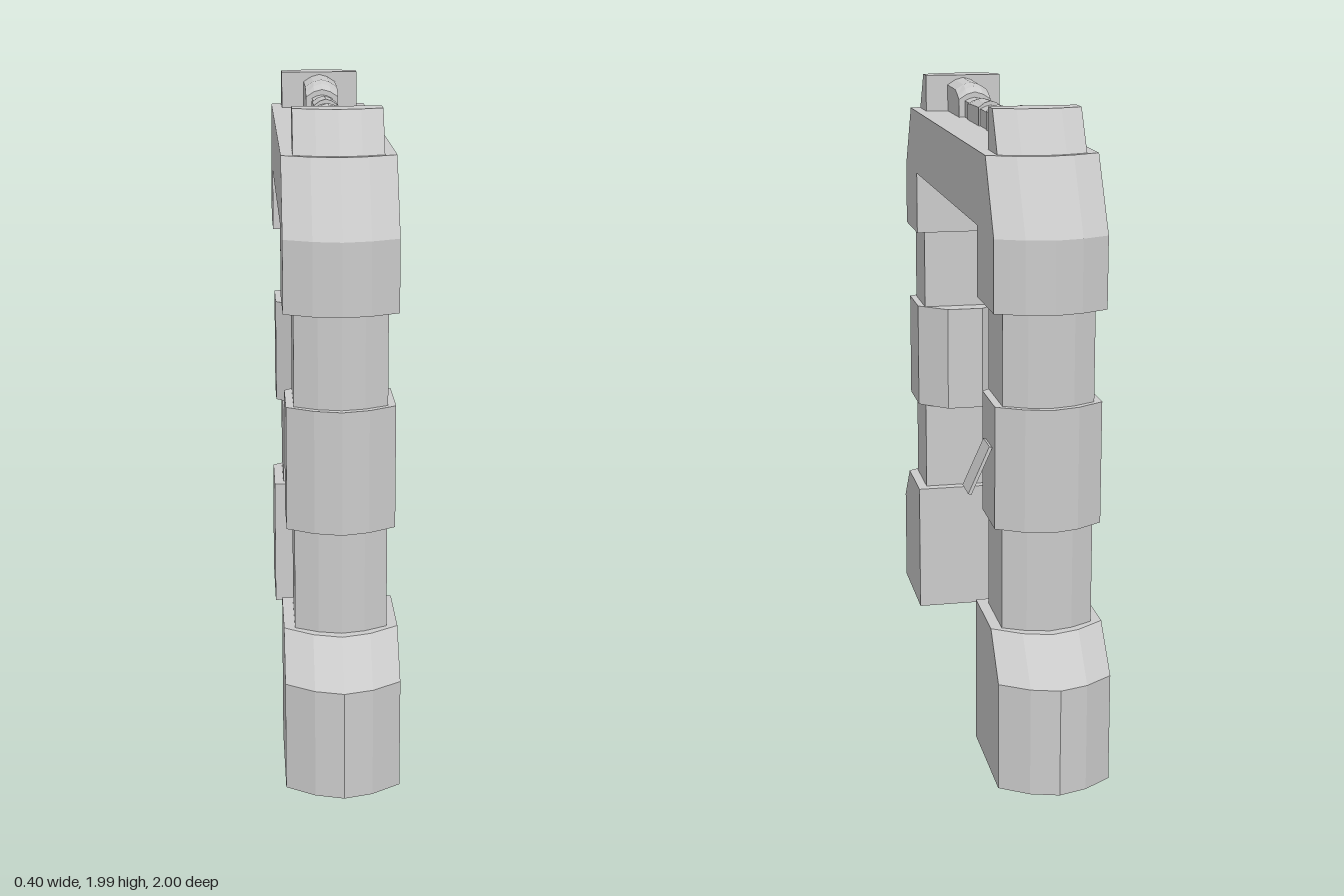
import * as THREE from 'three';

const material = new THREE.MeshStandardMaterial({ color: 0xcccccc, flatShading: true });
const STEPS = [-1, -0.5, 0, 0.5, 1];
const BOW = [0, 0.7, 1, 0.7, 0];

function addMesh(parent, name, geometry) {
  const mesh = new THREE.Mesh(geometry, material);
  mesh.name = name;
  parent.add(mesh);
  return mesh;
}

// Closed solid through a row of convex rings with equal point counts
function loft(rings) {
  const pos = [];
  const tri = (...pts) => pts.forEach((p) => pos.push(...p));
  const n = rings[0].length;
  for (let r = 0; r < rings.length - 1; r++) {
    for (let i = 0; i < n; i++) {
      const j = (i + 1) % n;
      const a = rings[r][i], b = rings[r][j], c = rings[r + 1][j], d = rings[r + 1][i];
      tri(a, b, c);
      tri(a, c, d);
    }
  }
  const first = rings[0], last = rings[rings.length - 1];
  for (let i = 1; i < n - 1; i++) {
    tri(first[0], first[i + 1], first[i]);
    tri(last[0], last[i], last[i + 1]);
  }
  const geometry = new THREE.BufferGeometry();
  geometry.setAttribute('position', new THREE.Float32BufferAttribute(pos, 3));
  geometry.computeVertexNormals();
  return geometry;
}

// Horizontal ring: bowed outer face (+z), flat or chamfered inner face
function legRing(w, y, inner, side, peak, chamfer) {
  const ring = STEPS.map((s, i) => [s * w, y, side + (peak - side) * BOW[i]]);
  if (chamfer) {
    ring.push([w, y, chamfer], [0.4 * w, y, inner], [-0.4 * w, y, inner], [-w, y, chamfer]);
  } else {
    ring.push([w, y, inner], [-w, y, inner]);
  }
  return ring;
}

// Vertical ring for the rail: flat bottom, domed top
function railRing(w, z, side, peak) {
  const ring = STEPS.map((s, i) => [-s * w, side + (peak - side) * BOW[i], z]);
  ring.push([-w, 1.86, z], [w, 1.86, z]);
  return ring;
}

function createPillar() {
  const pillar = new THREE.Group();
  addMesh(pillar, 'foot', loft([
    legRing(0.17, 0, 0.565, 0.92, 1.0),
    legRing(0.17, 0.335, 0.565, 0.92, 1.0),
    legRing(0.17, 0.465, 0.565, 0.805, 0.885),
  ]));
  addMesh(pillar, 'leg', loft([
    legRing(0.137, 0.465, 0.6, 0.805, 0.855),
    legRing(0.137, 1.43, 0.6, 0.805, 0.855),
  ]));
  addMesh(pillar, 'legCollar', loft([
    legRing(0.16, 0.78, 0.535, 0.81, 0.877, 0.62),
    legRing(0.16, 1.152, 0.535, 0.81, 0.877, 0.62),
  ]));
  addMesh(pillar, 'elbow', loft([
    legRing(0.167, 1.43, 0.575, 0.825, 0.88),
    legRing(0.167, 1.645, 0.575, 0.825, 0.88),
    legRing(0.167, 1.865, 0.575, 0.70, 0.755),
  ]));
  addMesh(pillar, 'topBlock', loft([
    legRing(0.132, 1.865, 0.565, 0.70, 0.735),
    legRing(0.132, 1.99, 0.565, 0.627, 0.662),
  ]));
  // Half of the rail, from the middle outwards
  addMesh(pillar, 'railCore', loft([
    railRing(0.035, 0, 1.92, 1.932),
    railRing(0.035, 0.34, 1.92, 1.932),
  ]));
  addMesh(pillar, 'railSleeve', loft([
    railRing(0.04, 0.062, 1.925, 1.946),
    railRing(0.04, 0.21, 1.922, 1.942),
    railRing(0.04, 0.26, 1.918, 1.935),
  ]));
  addMesh(pillar, 'railEnd', loft([
    railRing(0.055, 0.34, 1.925, 1.95),
    railRing(0.055, 0.37, 1.938, 1.967),
    railRing(0.055, 0.41, 1.952, 1.977),
    railRing(0.055, 0.565, 1.956, 1.981),
  ]));
  return pillar;
}

export function createModel() {
  const model = new THREE.Group();
  model.name = 'archway';
  const arch = new THREE.Group();
  arch.name = 'arch';
  arch.position.x = -0.034;
  model.add(arch);

  // Two identical halves, facing away from each other
  ['frontPillar', 'backPillar'].forEach((name, i) => {
    const pillar = createPillar();
    pillar.name = name;
    pillar.rotation.y = i * Math.PI;
    arch.add(pillar);
  });

  // Straight span between the elbows
  const beam = addMesh(arch, 'beam', new THREE.BoxGeometry(0.334, 0.22, 1.15));
  beam.position.y = 1.755;

  // Tilted control panel on the left of the back pillar
  const panel = addMesh(model, 'controlPanel', new THREE.BoxGeometry(0.01, 0.155, 0.092));
  panel.position.set(0.162, 0.95, -0.727);
  panel.rotation.z = 0.42;
  return model;
}
